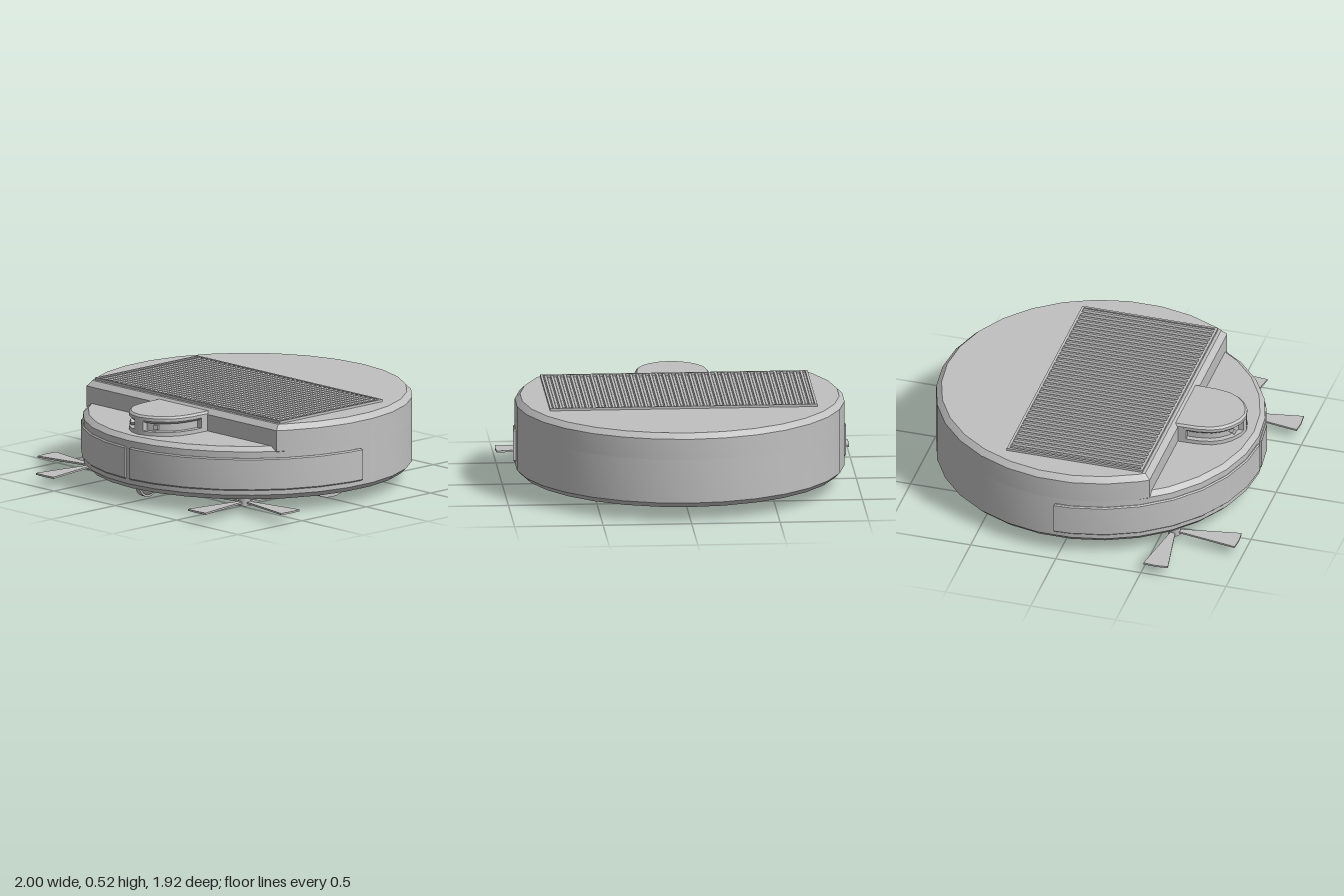
import * as THREE from 'three';
import { toCreasedNormals } from 'three/addons/utils/BufferGeometryUtils.js';

const shell = new THREE.MeshStandardMaterial({ color: 0xc0c0c0 });
shell.name = 'grey shell';

const CZ = -0.03; // centre of the round body
const R = 0.93;
const rad = THREE.MathUtils.degToRad;

function add(parent, name, geometry, x = 0, y = 0, z = 0) {
  const mesh = new THREE.Mesh(toCreasedNormals(geometry, 0.6), shell);
  mesh.name = name;
  mesh.position.set(x, y, z);
  parent.add(mesh);
  return mesh;
}

// Horizontal slab from a plan outline of [x, z] points, with chamfered edges
function slab(points, y0, y1, bevel = 0) {
  const shape = new THREE.Shape(points.map(([x, z]) => new THREE.Vector2(x, z)));
  const geo = new THREE.ExtrudeGeometry(shape, {
    depth: y1 - y0 - 2 * bevel, bevelEnabled: bevel > 0, bevelSegments: 1,
    bevelSize: bevel, bevelThickness: bevel, bevelOffset: -bevel,
  });
  return geo.rotateX(Math.PI / 2).translate(0, y1 - bevel, 0);
}

// Point on the body circle, angle measured from the front
const onCircle = (deg, r) => [r * Math.sin(rad(deg)), CZ + r * Math.cos(rad(deg))];

const crosswise = (r, w, n) => new THREE.CylinderGeometry(r, r, w, n).rotateZ(Math.PI / 2);

// Plan outline of the sensor pod, shrunk by an inset
function podOutline(inset) {
  const half = [[0.213, 0.45], [0.21, 0.6], [0.195, 0.68], [0.165, 0.735], [0.12, 0.78], [0.065, 0.812]];
  const k = 1 - inset / 0.21;
  const side = half.map(([x, z]) => [x * k, z - inset * Math.max(0, (z - 0.45) / 0.38)]);
  return [...side, [0, 0.826 - inset], ...side.slice().reverse().map(([x, z]) => [-x, z])];
}

export function createModel() {
  const model = new THREE.Group();
  model.name = 'robotVacuum';

  // Lower body with chamfered rims; its top is the front deck
  const profile = [[0, 0.08], [0.9, 0.08], [R, 0.11], [R, 0.36], [0.9, 0.385], [0, 0.385]]
    .map(([x, y]) => new THREE.Vector2(x, y));
  add(model, 'lowerBody', new THREE.LatheGeometry(profile, 30), 0, 0, CZ);

  // Raised rear body, cut straight across at the front
  const cutZ = 0.485;
  const cutAngle = THREE.MathUtils.radToDeg(Math.acos((cutZ - CZ) / R));
  const rear = [onCircle(cutAngle, R)];
  for (let a = 60; a <= 300; a += 12) rear.push(onCircle(a, R));
  rear.push(onCircle(-cutAngle, R));
  add(model, 'upperBody', slab(rear, 0.33, 0.51, 0.03));

  // Two bumper halves wrapping the front
  for (const s of [1, -1]) {
    const angles = [1, 12, 24, 36, 48, 60, 72, 84, 90];
    const outer = angles.map((a) => onCircle(s * a, 0.94));
    const inner = angles.map((a) => onCircle(s * a, 0.9)).reverse();
    add(model, s > 0 ? 'leftBumper' : 'rightBumper', slab([...outer, ...inner], 0.137, 0.323, 0.007));
  }

  // Ribbed top panel in a thin frame
  const panel = new THREE.Group();
  panel.name = 'topPanel';
  model.add(panel);
  const px = 0.755, z0 = -0.36, z1 = 0.437, rim = 0.014;
  for (const s of [1, -1]) {
    add(panel, 'panelSideFrame', new THREE.BoxGeometry(rim, 0.024, z1 - z0), s * (px - rim / 2), 0.512, (z0 + z1) / 2);
  }
  for (const z of [z0 + rim / 2, z1 - rim / 2]) {
    add(panel, 'panelEndFrame', new THREE.BoxGeometry(2 * px, 0.024, rim), 0, 0.512, z);
  }
  const ribs = new THREE.Shape();
  const count = 40, w = px - rim, pitch = (2 * w) / count;
  ribs.moveTo(-w, 0.5);
  for (let i = 0; i < count; i++) {
    const x = -w + i * pitch;
    ribs.lineTo(x, 0.511);
    ribs.lineTo(x + pitch * 0.28, 0.511);
    ribs.lineTo(x + pitch * 0.42, 0.522);
    ribs.lineTo(x + pitch * 0.8, 0.522);
    ribs.lineTo(x + pitch * 0.94, 0.511);
  }
  ribs.lineTo(w, 0.511);
  ribs.lineTo(w, 0.5);
  add(panel, 'panelRibs', new THREE.ExtrudeGeometry(ribs, { depth: z1 - z0 - 2 * rim, bevelEnabled: false }), 0, 0, z0 + rim);

  // Sensor pod: base, core, cap, pillars and two sensors
  const pod = new THREE.Group();
  pod.name = 'sensorPod';
  model.add(pod);
  add(pod, 'podBase', slab(podOutline(0), 0.37, 0.408));
  add(pod, 'podCore', slab(podOutline(0.03), 0.4, 0.475));
  add(pod, 'podCap', slab(podOutline(0), 0.455, 0.497, 0.012).translate(0, 0.0, 0));
  add(pod, 'frontPillar', slab([[-0.035, 0.76], [0.035, 0.76], [0.035, 0.819], [0, 0.826], [-0.035, 0.819]], 0.4, 0.47));
  for (const s of [1, -1]) {
    add(pod, 'rearPillar', new THREE.BoxGeometry(0.05, 0.08, 0.085), s * 0.187, 0.438, 0.49);
    const sensor = add(pod, 'sensor', new THREE.BoxGeometry(0.026, 0.026, 0.03), s * 0.095, 0.433, 0.772);
    sensor.rotation.set(0, s * 0.5, s < 0 ? Math.PI / 4 : 0);
  }

  // Side brushes, four flared blades on each hub
  for (const s of [1, -1]) {
    const brush = new THREE.Group();
    brush.name = s > 0 ? 'leftBrush' : 'rightBrush';
    brush.position.set(s * 0.62, 0, 0.585);
    model.add(brush);
    add(brush, 'brushHub', new THREE.CylinderGeometry(0.036, 0.036, 0.045, 12), 0, 0.064, 0);
    for (let i = 0; i < 4; i++) {
      const blade = add(brush, 'brushBlade', slab([[-0.012, 0.02], [0.012, 0.02], [0.072, 0.374], [0, 0.38], [-0.072, 0.374]], 0.056, 0.066));
      blade.rotation.y = (i * Math.PI) / 2;
    }
  }

  // Drive wheels with a raised outer tread
  for (const s of [1, -1]) {
    const name = s > 0 ? 'leftWheel' : 'rightWheel';
    add(model, name + 'Tread', crosswise(0.23, 0.035, 32), s * 0.67, 0.23, CZ);
    add(model, name, crosswise(0.218, 0.1, 32), s * 0.61, 0.23, CZ);
  }

  // Main roller between the wheels
  add(model, 'roller', crosswise(0.09, 1, 24), 0, 0.11, CZ);

  // Front caster
  add(model, 'casterWheel', crosswise(0.075, 0.035, 20), 0, 0.09, 0.755);
  add(model, 'casterBall', new THREE.SphereGeometry(1, 16, 12).scale(0.05, 0.068, 0.07), 0, 0.09, 0.755);

  return model;
}
